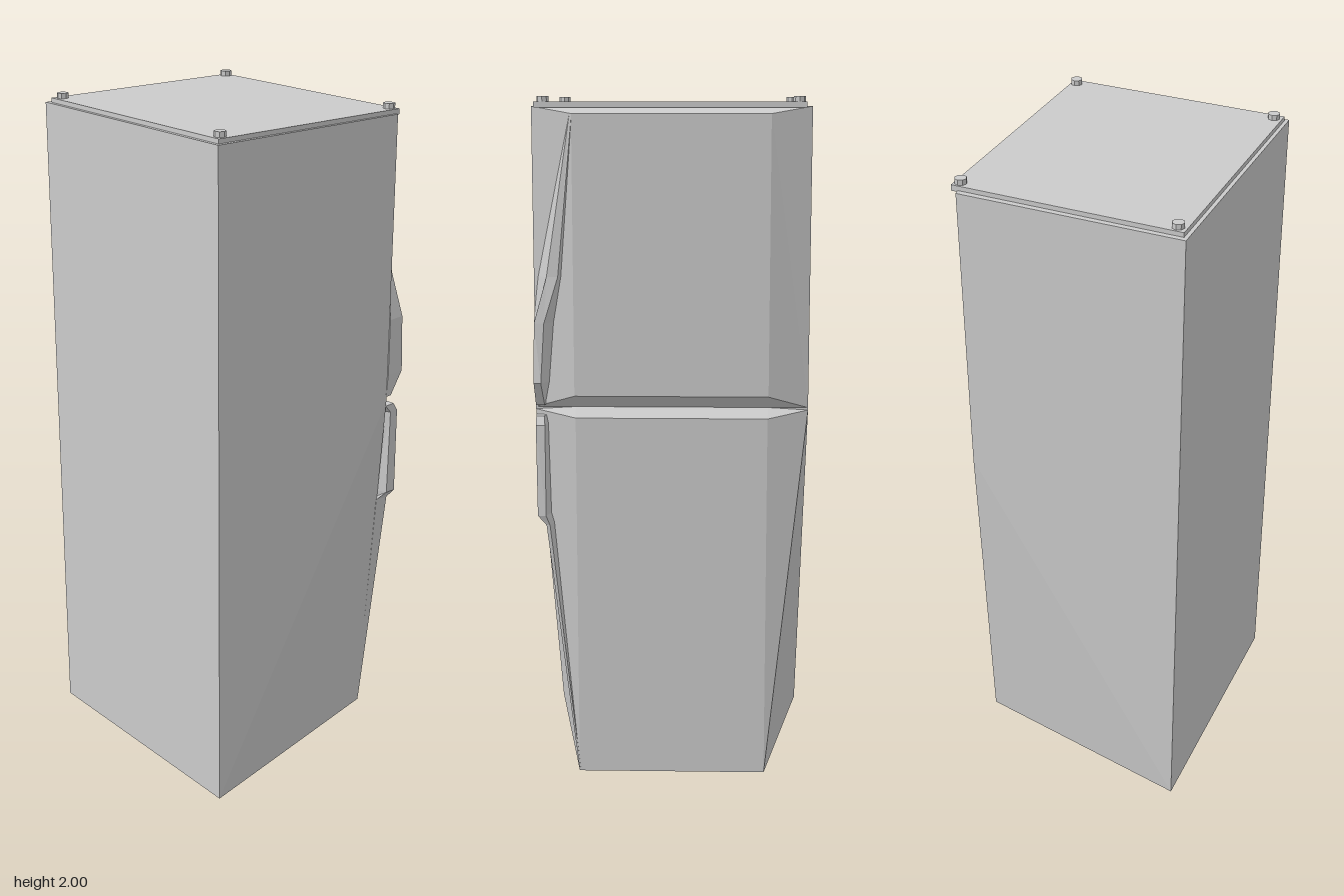
import * as THREE from 'three';

const material = new THREE.MeshStandardMaterial({ color: 0xcccccc, flatShading: true });

// Joins closed rings of [x, y, z] points (listed bottom to top) and caps both ends.
// Diagonals are mirrored between the two halves of the ring.
function loft(name, rings) {
  const n = rings[0].length;
  const positions = [];
  const tri = (a, b, c) => positions.push(...a, ...b, ...c);
  for (let r = 0; r < rings.length - 1; r++) {
    const lo = rings[r], hi = rings[r + 1];
    for (let i = 0; i < n; i++) {
      const j = (i + 1) % n;
      if (i < n / 2) {
        tri(lo[i], lo[j], hi[j]);
        tri(lo[i], hi[j], hi[i]);
      } else {
        tri(lo[i], lo[j], hi[i]);
        tri(lo[j], hi[j], hi[i]);
      }
    }
  }
  const top = rings[rings.length - 1], low = rings[0];
  for (let k = 0; k < n / 2 - 1; k++) {
    const l = (n - k) % n, r = k + 1, l2 = n - k - 1, r2 = k + 2;
    tri(top[l], top[r], top[r2]);
    tri(top[l], top[r2], top[l2]);
    tri(low[l], low[r2], low[r]);
    tri(low[l], low[l2], low[r2]);
  }
  const geometry = new THREE.BufferGeometry();
  geometry.setAttribute('position', new THREE.Float32BufferAttribute(positions, 3));
  geometry.computeVertexNormals();
  const mesh = new THREE.Mesh(geometry, material);
  mesh.name = name;
  return mesh;
}

// Cabinet ring: front corners, side corners, then the face of the doors
function cabinetRing(ySide, yDoor, sideX, sideZ, doorX, doorZ, yFront = ySide) {
  return [
    [-0.397, yFront, 0.353], [0.389, yFront, 0.36],
    [sideX, ySide, sideZ], [doorX, yDoor, doorZ],
    [-doorX, yDoor, doorZ], [-sideX, ySide, sideZ],
  ];
}

// Flat ring at height y from [x, z] pairs
const ring = (y, pairs) => pairs.map(([x, z]) => [x, y, z]);

export function createModel() {
  const model = new THREE.Group();

  // Cabinet with two door panels and a groove between them
  model.add(loft('cabinetAndDoors', [
    cabinetRing(0.02, 0.02, 0.275, -0.33, 0.275, -0.33, 0),
    cabinetRing(1.115, 1.095, 0.392, -0.29, 0.275, -0.327),
    cabinetRing(1.122, 1.122, 0.392, -0.29, 0.277, -0.292),
    cabinetRing(1.13, 1.16, 0.392, -0.29, 0.277, -0.335),
    cabinetRing(1.972, 1.952, 0.392, -0.292, 0.277, -0.333),
  ]));

  // Slightly inset top plate
  const plate = [[-0.382, 0.342], [0.378, 0.349], [0.384, -0.305], [-0.375, -0.314]];
  model.add(loft('topPlate', [ring(1.968, plate), ring(1.985, plate)]));

  // Small round studs on the top corners
  const studs = [[-0.355, -0.295], [0.36, -0.288], [-0.36, 0.318], [0.355, 0.325]];
  for (const [x, z] of studs) {
    const stud = new THREE.Mesh(new THREE.CylinderGeometry(0.017, 0.017, 0.022, 8), material);
    stud.position.set(x, 1.989, z);
    stud.name = 'topStud';
    model.add(stud);
  }

  // Upper door handle, swelling out of the door edge
  model.add(loft('upperHandle', [
    ring(1.13, [[0.36, -0.29], [0.392, -0.288], [0.39, -0.31], [0.365, -0.31]]),
    ring(1.2, [[0.35, -0.305], [0.396, -0.29], [0.391, -0.352], [0.37, -0.358]]),
    ring(1.37, [[0.335, -0.31], [0.394, -0.292], [0.388, -0.348], [0.36, -0.348]]),
    ring(1.5, [[0.31, -0.315], [0.38, -0.294], [0.352, -0.334], [0.32, -0.336]]),
    ring(1.95, [[0.276, -0.33], [0.282, -0.329], [0.282, -0.332], [0.276, -0.334]]),
  ]));

  // Lower door handle with a tail running down the door edge
  model.add(loft('lowerHandle', [
    ring(0.03, [[0.272, -0.326], [0.276, -0.326], [0.276, -0.331], [0.272, -0.331]]),
    ring(0.78, [[0.34, -0.3], [0.358, -0.298], [0.362, -0.338], [0.352, -0.338]]),
    ring(0.81, [[0.35, -0.3], [0.386, -0.312], [0.386, -0.345], [0.362, -0.348]]),
    ring(1.075, [[0.355, -0.295], [0.39, -0.312], [0.388, -0.342], [0.362, -0.342]]),
    ring(1.1, [[0.36, -0.29], [0.391, -0.289], [0.388, -0.325], [0.365, -0.325]]),
  ]));

  return model;
}
